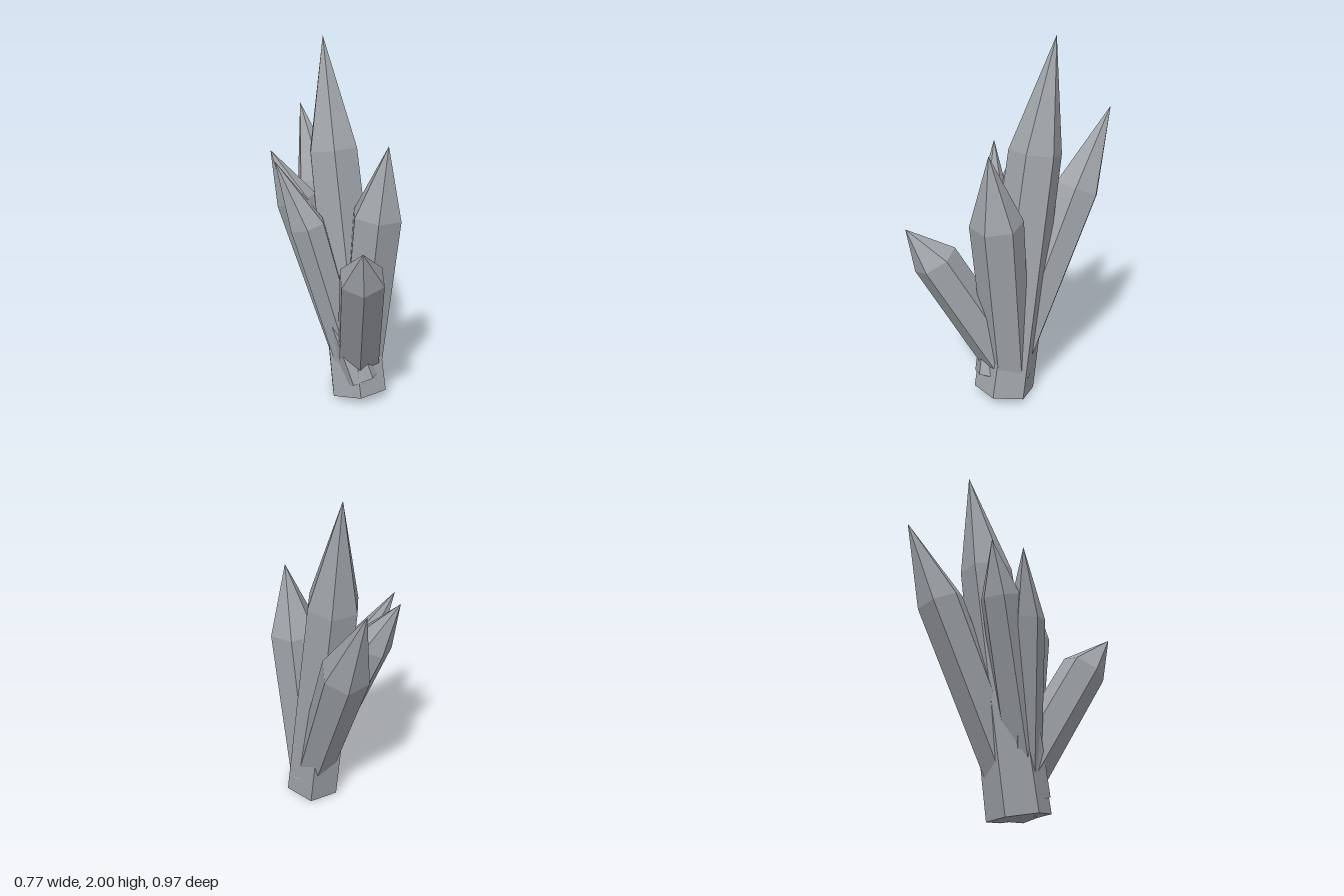
import * as THREE from 'three';

const V = (a) => new THREE.Vector3(...a);

// Six-sided crystal: tapered prism from base to shoulder, closed by an off-centre point
function crystalGeometry({ base, shoulder, apex, rBase, rShoulder, turn }) {
  const b = V(base), s = V(shoulder), tip = V(apex);
  const axis = s.clone().sub(b).normalize();
  const t = THREE.MathUtils.degToRad(turn);
  const u = new THREE.Vector3(Math.cos(t), 0, Math.sin(t));
  u.addScaledVector(axis, -u.dot(axis)).normalize();
  const v = axis.clone().cross(u);
  const ring = (c, r) => Array.from({ length: 6 }, (_, i) => {
    const a = i * Math.PI / 3;
    return c.clone().addScaledVector(u, r * Math.cos(a)).addScaledVector(v, r * Math.sin(a));
  });
  const low = ring(b, rBase), high = ring(s, rShoulder);
  const points = [];
  for (let i = 0; i < 6; i++) {
    const j = (i + 1) % 6;
    points.push(low[i], low[j], high[j], low[i], high[j], high[i]); // side
    points.push(high[i], high[j], tip);                             // point
    points.push(low[j], low[i], b);                                 // underside
  }
  const geometry = new THREE.BufferGeometry().setFromPoints(points);
  geometry.computeVertexNormals();
  return geometry;
}

export function createModel() {
  const group = new THREE.Group();
  group.name = 'crystalCluster';
  const stone = new THREE.MeshStandardMaterial({ color: 0xa0a4a9, flatShading: true });
  stone.name = 'greyCrystal';

  const crystals = [
    { name: 'tallCrystal', base: [0.04, 0.03, 0.158], shoulder: [0.107, 1.4, -0.07], apex: [0.165, 2, -0.18], rBase: 0.172, rShoulder: 0.146, turn: 22 },
    { name: 'frontCrystal', base: [0.07, 0.04, 0.14], shoulder: [0.055, 1.09, 0.255], apex: [0.05, 1.475, 0.32], rBase: 0.125, rShoulder: 0.143, turn: 85 },
    { name: 'backLeftCrystal', base: [0.052, 0.12, 0.15], shoulder: [0.26, 1.15, -0.285], apex: [0.355, 1.585, -0.485], rBase: 0.115, rShoulder: 0.132, turn: 11 },
    { name: 'frontRightCrystal', base: [0.09, 0.11, 0.115], shoulder: [-0.262, 0.86, 0.367], apex: [-0.385, 1.04, 0.45], rBase: 0.13, rShoulder: 0.125, turn: 85 },
    { name: 'rightCrystal', base: [0, 0.12, 0.15], shoulder: [-0.15, 1.03, -0.06], apex: [-0.23, 1.378, -0.21], rBase: 0.085, rShoulder: 0.103, turn: 23 },
    { name: 'backRightCrystal', base: [0, 0.13, 0.2], shoulder: [-0.07, 1.13, -0.19], apex: [-0.112, 1.4, -0.335], rBase: 0.115, rShoulder: 0.112, turn: -12 },
  ];
  for (const c of crystals) {
    const mesh = new THREE.Mesh(crystalGeometry(c), stone);
    mesh.name = c.name;
    group.add(mesh);
  }
  return group;
}
